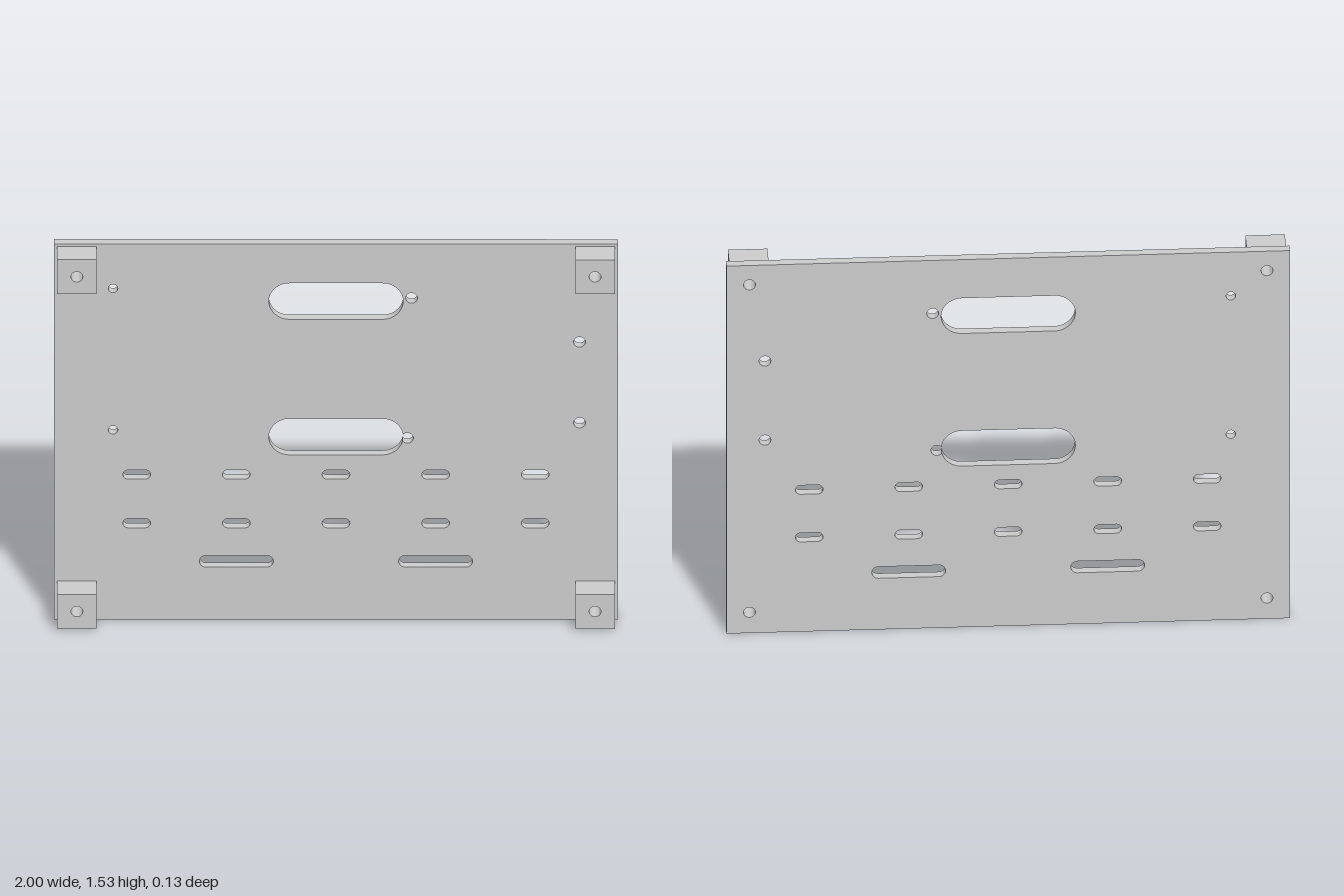
import * as THREE from 'three';
import { toCreasedNormals } from 'three/addons/utils/BufferGeometryUtils.js';

const WIDTH = 2, HEIGHT = 1.53;
const BACK = -0.064, FACE = -0.031, FRONT = 0.064;
const BLOCK = 0.14, BOLT_R = 0.021;

function rectangle(cx, cy, w, h) {
  const x = w / 2, y = h / 2;
  return new THREE.Shape([[-x, -y], [x, -y], [x, y], [-x, y]].map(([a, b]) => new THREE.Vector2(cx + a, cy + b)));
}

function roundHole(x, y, r) {
  return new THREE.Path().absarc(x, y, r, 0, Math.PI * 2, false);
}

// Horizontal slot with round ends; an optional small hole breaks into its right end
function slot(cx, cy, halfLength, r, notch) {
  const p = new THREE.Path(), right = cx + halfLength - r, left = cx - halfLength + r, q = Math.PI / 2;
  if (notch) {
    const dx = notch.x - right, dy = notch.y - cy, d = Math.hypot(dx, dy), phi = Math.atan2(dy, dx);
    const a = Math.acos((r * r + d * d - notch.r ** 2) / (2 * r * d));
    const b = Math.acos((notch.r ** 2 + d * d - r * r) / (2 * notch.r * d));
    p.absarc(right, cy, r, -q, phi - a, false);
    p.absarc(notch.x, notch.y, notch.r, phi + Math.PI + b, phi + 3 * Math.PI - b, false);
    p.absarc(right, cy, r, phi + a, q, false);
  } else {
    p.absarc(right, cy, r, -q, q, false);
  }
  p.absarc(left, cy, r, q, 3 * q, false);
  p.closePath();
  return p;
}

export function createModel() {
  const group = new THREE.Group();
  const material = new THREE.MeshStandardMaterial({ color: 0xcccccc });

  function addExtrusion(name, shape, z0, z1) {
    const geometry = new THREE.ExtrudeGeometry(shape, { depth: z1 - z0, bevelEnabled: false, curveSegments: 20 });
    geometry.translate(0, 0, z0);
    const mesh = new THREE.Mesh(toCreasedNormals(geometry, 0.6), material);
    mesh.name = name;
    group.add(mesh);
  }

  const corners = [
    ['lowerRightBlock', -0.918, 0.086], ['lowerLeftBlock', 0.918, 0.086],
    ['upperRightBlock', -0.918, 1.449], ['upperLeftBlock', 0.918, 1.449],
  ];

  // Perforated plate
  const plate = rectangle(0, HEIGHT / 2, WIDTH, HEIGHT);

  // Two large cable openings, the lower one joined to its side hole
  plate.holes.push(slot(0, 1.296, 0.238, 0.0735));
  plate.holes.push(slot(0, 0.744, 0.238, 0.0735, { x: 0.253, y: 0.739, r: 0.021 }));

  // Two rows of short slots
  for (const y of [0.392, 0.59])
    for (let i = -2; i <= 2; i++) plate.holes.push(slot(i * 0.353, y, 0.049, 0.0187));

  // Pair of long slots
  for (const side of [-1, 1]) plate.holes.push(slot(side * 0.353, 0.237, 0.131, 0.024));

  // Small round holes
  for (const [x, y, r] of [
    [-0.79, 1.348, 0.017], [-0.79, 0.772, 0.017], [0.268, 1.309, 0.021],
    [0.863, 1.13, 0.021], [0.863, 0.801, 0.021],
  ]) plate.holes.push(roundHole(x, y, r));

  for (const [, x, y] of corners) plate.holes.push(roundHole(x, y, BOLT_R));
  addExtrusion('plate', plate, BACK, FACE);

  // Drilled corner blocks
  for (const [name, x, y] of corners) {
    const block = rectangle(x, y, BLOCK, BLOCK);
    block.holes.push(roundHole(x, y, BOLT_R));
    addExtrusion(name, block, FACE, FRONT);
  }
  return group;
}
